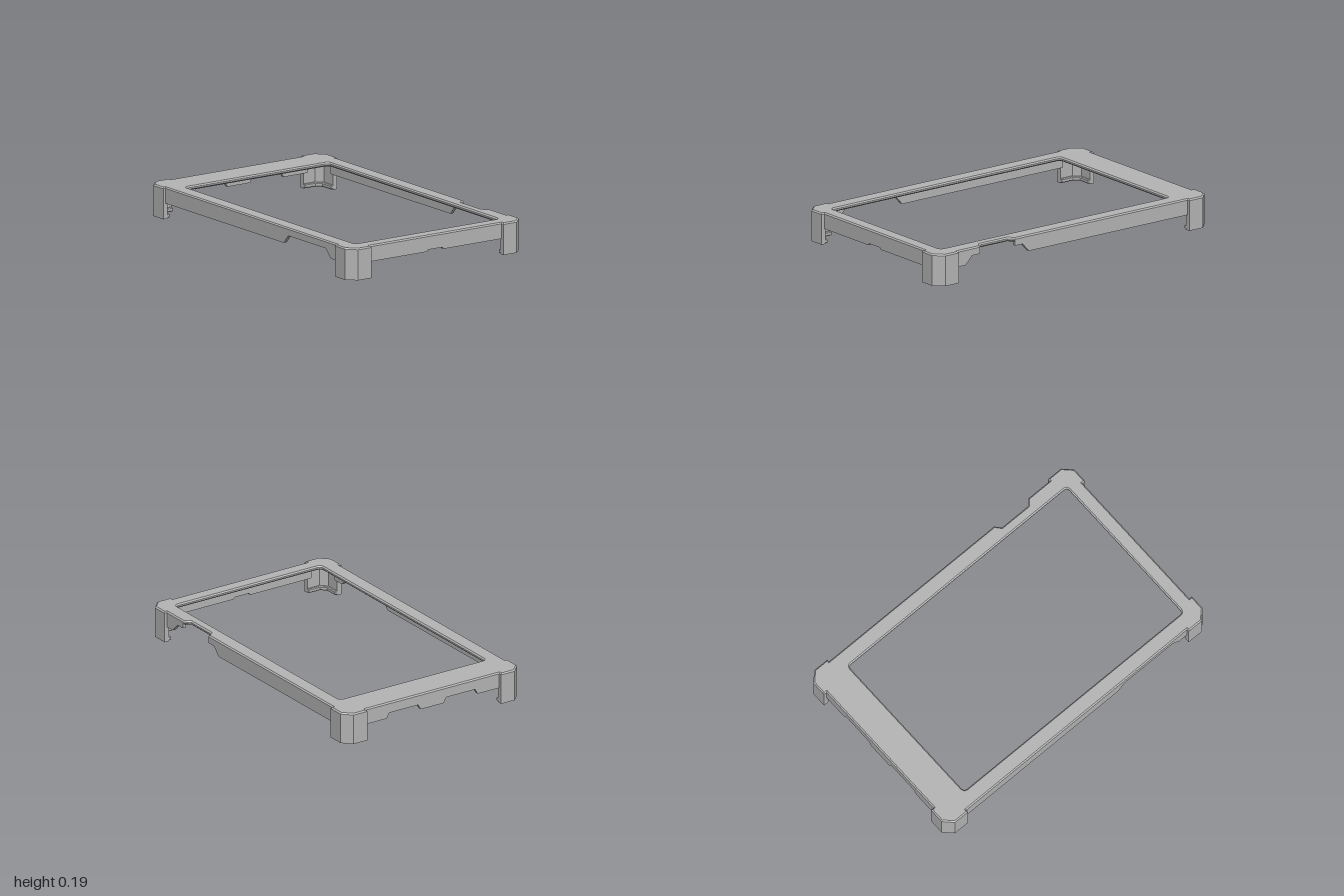
import * as THREE from 'three';

const TOP = 0.19, WALL_TOP = 0.175, WALL_BOTTOM = 0.093, T = 0.022;

const shapeOf = (pts) => new THREE.Shape(pts.map(([x, y]) => new THREE.Vector2(x, y)));

// Extrude a plan outline (x, -z) upwards from height y
function planExtrude(shape, y, height, bevel = 0) {
  const g = new THREE.ExtrudeGeometry(shape, {
    depth: height - 2 * bevel, bevelEnabled: bevel > 0, bevelSegments: 1,
    bevelSize: bevel, bevelOffset: -bevel, bevelThickness: bevel, curveSegments: 5,
  });
  return g.rotateX(-Math.PI / 2).translate(0, y + bevel, 0);
}

// Strip following one chamfered corner, between two inward offsets
function cornerBand(sx, sz, d0, d1) {
  const line = (d) => [
    [0.845, 0.62 - d], [0.945 - 0.41 * d, 0.62 - d],
    [1 - d, 0.565 - 0.41 * d], [1 - d, 0.47],
  ];
  return shapeOf([...line(d0), ...line(d1).reverse()].map(([x, z]) => [sx * x, -sz * z]));
}

// Rounded window opening
function windowPath(x0, x1, z, r) {
  const p = new THREE.Path();
  p.moveTo(x0 + r, -z);
  p.lineTo(x1 - r, -z);
  p.quadraticCurveTo(x1, -z, x1, -z + r);
  p.lineTo(x1, z - r);
  p.quadraticCurveTo(x1, z, x1 - r, z);
  p.lineTo(x0 + r, z);
  p.quadraticCurveTo(x0, z, x0, z - r);
  p.lineTo(x0, -z + r);
  p.quadraticCurveTo(x0, -z, x0 + r, -z);
  return p;
}

export function createModel() {
  const group = new THREE.Group();
  const grey = new THREE.MeshStandardMaterial({ color: 0xb4b4b4 });
  grey.name = 'grey plastic';
  const add = (name, geometry) => {
    const mesh = new THREE.Mesh(geometry, grey);
    mesh.name = name;
    group.add(mesh);
    return mesh;
  };

  // Bezel plate with projecting corners, a rear recess and the window
  const corner = [[0.98, 0.47], [1, 0.47], [1, 0.565], [0.945, 0.62], [0.845, 0.62], [0.845, 0.605]];
  const flip = (sx, sy) => corner.map(([x, y]) => [sx * x, sy * y]);
  const plate = shapeOf([
    ...flip(1, 1),
    [0.68, 0.605], [0.65, 0.57], [0.45, 0.57], [0.42, 0.605],
    ...flip(-1, 1).reverse(), ...flip(-1, -1), ...flip(1, -1).reverse(),
  ]);
  plate.holes.push(windowPath(-0.78, 0.895, 0.51, 0.025));
  add('bezelPlate', planExtrude(plate, 0.165, TOP - 0.165, 0.008));

  // Long walls, cut away near the right end
  const longWall = (name, pts, z) => {
    const g = new THREE.ExtrudeGeometry(shapeOf(pts), { depth: T, bevelEnabled: false });
    add(name, g.translate(0, 0, z));
  };
  const leftPart = [[-0.86, WALL_TOP], [-0.86, WALL_BOTTOM], [0.32, WALL_BOTTOM], [0.365, 0.143]];
  const rightPart = [[0.735, 0.143], [0.785, WALL_BOTTOM], [0.86, WALL_BOTTOM], [0.86, WALL_TOP]];
  longWall('frontWall', [...leftPart, ...rightPart], 0.605 - T);
  longWall('backWallLong', [...leftPart, [0.42, 0.143], [0.42, WALL_TOP]], -0.605);
  longWall('backWallShort', [[0.68, WALL_TOP], [0.68, 0.143], ...rightPart], -0.605);

  // Short walls with notches along the lower edge: [start z, end z, top y]
  const sideWall = (name, notches, x) => {
    const pts = [[-0.49, WALL_TOP], [-0.49, WALL_BOTTOM]];
    for (const [a, b, y] of notches) {
      const s = y - WALL_BOTTOM;
      pts.push([a, WALL_BOTTOM], [a + s * 0.6, y], [b - s * 0.6, y], [b, WALL_BOTTOM]);
    }
    pts.push([0.49, WALL_BOTTOM], [0.49, WALL_TOP]);
    const g = new THREE.ExtrudeGeometry(shapeOf(pts), { depth: T, bevelEnabled: false });
    add(name, g.rotateY(-Math.PI / 2).translate(x, 0, 0));
  };
  sideWall('leftWall', [[-0.058, 0.058, 0.104]], 0.98);
  sideWall('rightWall', [[-0.32, -0.08, 0.125], [0.08, 0.32, 0.125]], -0.98 + T);

  // Corner legs with inward catches at the foot
  for (const sx of [1, -1]) {
    for (const sz of [1, -1]) {
      const name = (sz > 0 ? 'front' : 'back') + (sx > 0 ? 'Left' : 'Right');
      add(name + 'Leg', planExtrude(cornerBand(sx, sz, 0, 0.03), 0, WALL_TOP));
      add(name + 'Catch', planExtrude(cornerBand(sx, sz, 0.025, 0.045), 0.003, 0.025, 0.005));
    }
  }
  return group;
}
